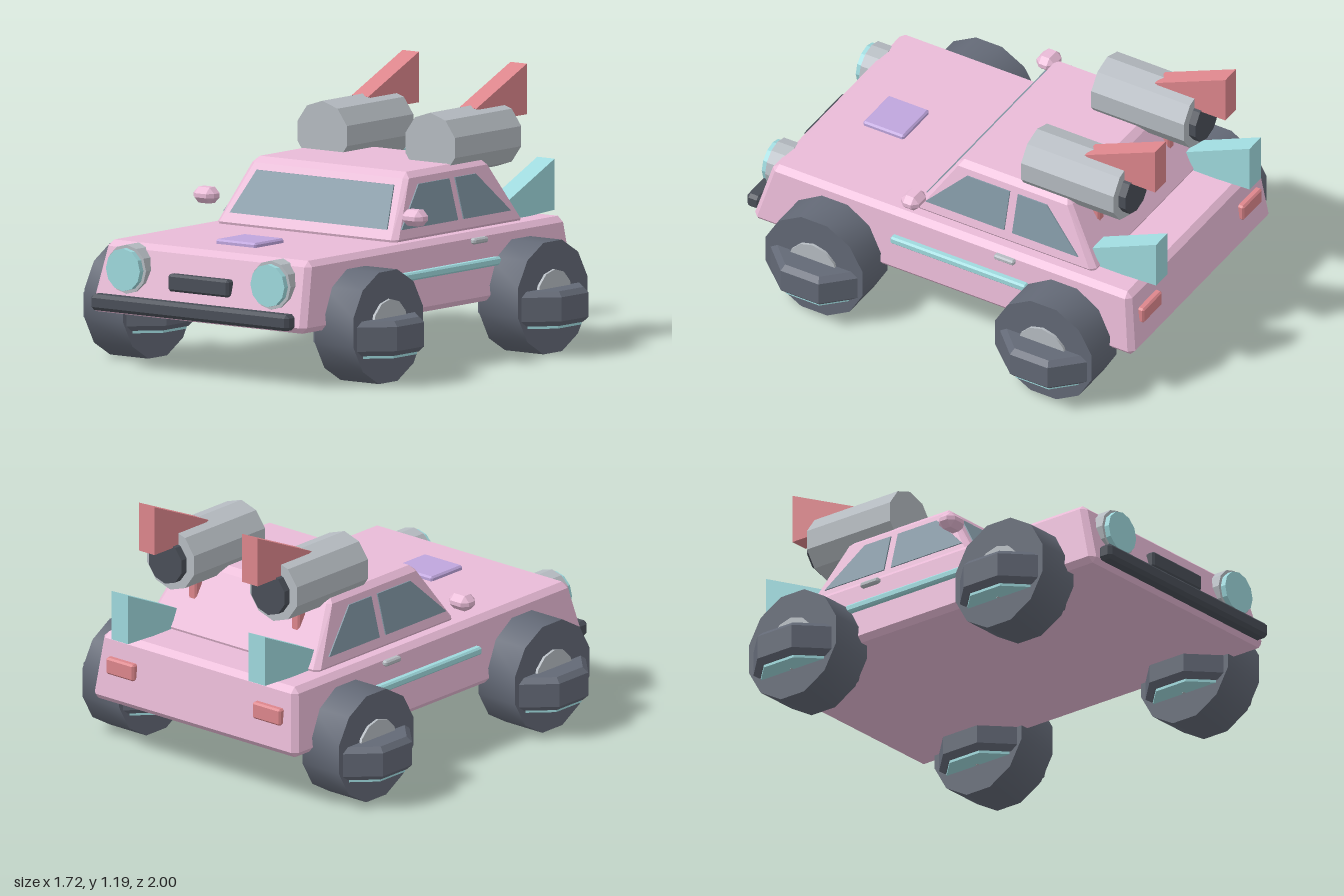
import * as THREE from 'three';
import { ConvexGeometry } from 'three/addons/geometries/ConvexGeometry.js';
import { toCreasedNormals } from 'three/addons/utils/BufferGeometryUtils.js';

const paint = (color) => new THREE.MeshStandardMaterial({ color });
const PINK = paint(0xe9bbd7), TEAL = paint(0x9fdade), RED = paint(0xdd868c), PURPLE = paint(0xbfa5dd);
const DARK = paint(0x636976), BLACK = paint(0x4a4f58), STEEL = paint(0xb6bcc2), GLASS = paint(0x8095a2);

const V = (x, y, z) => new THREE.Vector3(x, y, z);
const lerp = THREE.MathUtils.lerp;

// Chamfered block whose bottom and top rectangles may differ: rect = [halfWidth, zBack, zFront]
function taperedBlock(bottom, top, y0, y1, bevel, cx = 0) {
  const points = [];
  const at = (u, v, w) => {
    const t = (v + 1) / 2;
    const half = lerp(bottom[0], top[0], t);
    const back = lerp(bottom[1], top[1], t), front = lerp(bottom[2], top[2], t);
    return V(cx + u * half, lerp(y0, y1, t), lerp(back, front, (w + 1) / 2));
  };
  const iu = 1 - bevel / bottom[0];
  const iv = 1 - (2 * bevel) / (y1 - y0);
  const iw = 1 - (2 * bevel) / (bottom[2] - bottom[1]);
  for (const u of [-1, 1]) for (const v of [-1, 1]) for (const w of [-1, 1]) {
    points.push(at(u, v * iv, w * iw), at(u * iu, v, w * iw), at(u * iu, v * iv, w));
  }
  return new ConvexGeometry(points);
}

// Chamfered box from centre and size
function block(cx, cy, cz, sx, sy, sz, bevel = 0.008) {
  const rect = [sx / 2, cz - sz / 2, cz + sz / 2];
  return taperedBlock(rect, rect, cy - sy / 2, cy + sy / 2, bevel, cx);
}

// Side outline of [z, y] pairs, given thickness along x
function fin(outline, cx, thickness) {
  const points = [];
  for (const [z, y] of outline) {
    points.push(V(cx - thickness / 2, y, z), V(cx + thickness / 2, y, z));
  }
  return new ConvexGeometry(points);
}

// Faceted cylinder along z, turned so a corner or a flat points up
function drum(r, z0, z1, sides, cx, cy, turn = 0) {
  const g = new THREE.CylinderGeometry(r, r, z1 - z0, sides);
  g.rotateY(turn).rotateX(Math.PI / 2).translate(cx, cy, (z0 + z1) / 2);
  return toCreasedNormals(g, 0.3);
}

export function createModel() {
  const model = new THREE.Group();
  const add = (name, geometry, material, parent = model) => {
    const mesh = new THREE.Mesh(geometry, material);
    mesh.name = name;
    parent.add(mesh);
    return mesh;
  };

  // Body and cabin
  add('body', taperedBlock([0.588, -0.97, 0.947], [0.553, -0.932, 0.86], 0.24, 0.545, 0.025), PINK);
  add('cabin', taperedBlock([0.5, -0.735, 0.197], [0.42, -0.545, 0.0], 0.53, 0.825, 0.025), PINK);
  const cabinSide = (y) => lerp(0.5, 0.42, (y - 0.53) / 0.295);
  const cabinFront = (y) => lerp(0.197, 0, (y - 0.53) / 0.295);

  // Windscreen
  const screen = [];
  for (const [x, y] of [[0.43, 0.595], [0.375, 0.772]]) {
    for (const s of [-1, 1]) for (const d of [0.006, -0.02]) {
      screen.push(V(s * x, y, cabinFront(y) + d));
    }
  }
  add('windscreen', new ConvexGeometry(screen), GLASS);

  // Front and hood fittings
  add('frontBumper', block(0, 0.29, 0.965, 1.08, 0.07, 0.07, 0.015), BLACK);
  add('grille', block(0, 0.4, 0.91, 0.33, 0.075, 0.05, 0.01), BLACK);
  add('hoodPanel', block(0, 0.55, 0.567, 0.22, 0.03, 0.205), PURPLE);

  // Paired parts
  for (const s of [1, -1]) {
    const side = new THREE.Group();
    side.name = s > 0 ? 'leftSide' : 'rightSide';
    model.add(side);

    // Door windows
    const panes = {
      frontDoorWindow: [[0.13, 0.595], [-0.05, 0.772], [-0.265, 0.772], [-0.265, 0.595]],
      rearDoorWindow: [[-0.305, 0.595], [-0.305, 0.772], [-0.45, 0.772], [-0.635, 0.595]],
    };
    for (const [name, outline] of Object.entries(panes)) {
      const points = [];
      for (const [z, y] of outline) for (const d of [0.006, -0.02]) {
        points.push(V(s * (cabinSide(y) + d), y, z));
      }
      add(name, new ConvexGeometry(points), GLASS, side);
    }

    // Lamps, mirror and trim
    add('headlightRim', drum(0.107, 0.84, 0.925, 12, s * 0.395, 0.437), STEEL, side);
    add('headlightLens', drum(0.093, 0.87, 0.95, 12, s * 0.395, 0.437), TEAL, side);
    add('tailLight', block(s * 0.42, 0.41, -0.95, 0.16, 0.075, 0.045), RED, side);
    add('mirror', block(s * 0.57, 0.658, 0.14, 0.112, 0.07, 0.09, 0.026), PINK, side);
    add('sideStrip', block(s * 0.575, 0.408, -0.095, 0.04, 0.036, 0.68), TEAL, side);
    add('doorHandle', block(s * 0.562, 0.508, -0.315, 0.035, 0.025, 0.1, 0.007), STEEL, side);

    // Roof jet with nozzle, top fin and support strut
    const jx = s * 0.295;
    add('jetHousing', drum(0.142, -0.78, -0.316, 10, jx, 0.897), STEEL, side);
    add('jetNozzle', drum(0.098, -0.815, -0.75, 10, jx, 0.89), BLACK, side);
    add('jetFin', fin([[-0.58, 1.03], [-0.935, 1.187], [-0.935, 0.967], [-0.76, 0.967]], jx, 0.09), RED, side);
    add('jetStrut', block(jx, 0.7, -0.615, 0.045, 0.2, 0.05), RED, side);

    // Tail fin
    add('tailFin', fin([[-0.68, 0.63], [-1, 0.775], [-1, 0.553], [-0.72, 0.54]], s * 0.393, 0.095), TEAL, side);

    // Wheels, each with a flat octagonal thruster through the hub
    for (const [label, z] of [['front', 0.54], ['rear', -0.61]]) {
      const wheel = new THREE.Group();
      wheel.name = label + 'Wheel';
      wheel.position.set(s * 0.63, 0.243, z);
      side.add(wheel);

      const tyre = new THREE.CylinderGeometry(0.251, 0.251, 0.21, 12);
      tyre.rotateY(Math.PI / 12).rotateZ(Math.PI / 2);
      add('tyre', toCreasedNormals(tyre, 0.6), DARK, wheel);

      const cap = new THREE.CylinderGeometry(0.122, 0.122, 0.235, 12);
      add('hubCap', toCreasedNormals(cap.rotateZ(Math.PI / 2), 0.6), STEEL, wheel);

      const profile = [[0, -0.108], [0.222, -0.108], [0.247, -0.085], [0.247, 0.02], [0.222, 0.043], [0, 0.043]];
      const pod = new THREE.LatheGeometry(profile.map((p) => new THREE.Vector2(...p)), 8);
      add('thruster', toCreasedNormals(pod.rotateY(Math.PI / 8), 0.3), DARK, wheel);

      const glow = new THREE.CylinderGeometry(0.215, 0.215, 0.03, 8);
      glow.rotateY(Math.PI / 8).translate(0, -0.105, 0);
      add('thrusterGlow', toCreasedNormals(glow, 0.3), TEAL, wheel);
    }
  }
  return model;
}
